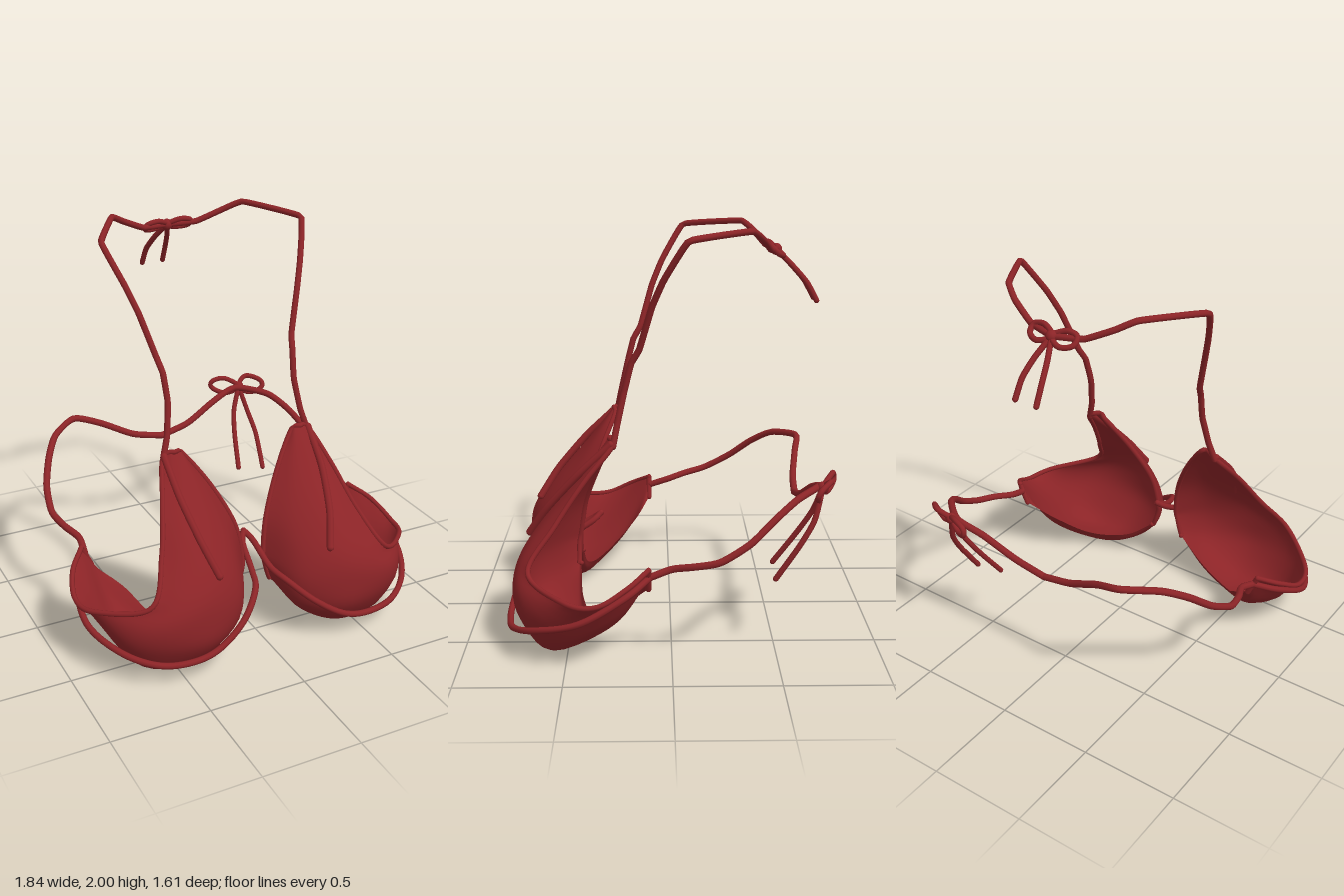
import * as THREE from 'three';

const red = new THREE.MeshStandardMaterial({ color: 0x8c2427, side: THREE.DoubleSide });
red.name = 'deep red fabric';

const vec = (p, s = 1) => new THREE.Vector3(p[0] * s, p[1], p[2]);
const spline = (pts, closed = false, tension = 0.5) => new THREE.CatmullRomCurve3(pts, closed, 'catmullrom', tension);

// Round cord along points, with rounded ends unless it is a closed loop
function cord(name, pts, { r = 0.016, closed = false, tension = 0.35, side = 1 } = {}) {
  const group = new THREE.Group();
  group.name = name;
  const path = pts.map(p => vec(p, side));
  const tube = new THREE.TubeGeometry(spline(path, closed, tension), pts.length * 6, r, 8, closed);
  const mesh = new THREE.Mesh(tube, red);
  mesh.name = name;
  group.add(mesh);
  if (!closed) for (const end of [path[0], path[path.length - 1]]) {
    const cap = new THREE.Mesh(new THREE.SphereGeometry(r, 8, 6), red);
    cap.name = name + 'End';
    cap.position.copy(end);
    group.add(cap);
  }
  return group;
}

// Cup cross-sections, each from the inner edge round the front to the outer edge, top to bottom
const cupRows = [
  [[.30, .965, .29], [.315, .985, .30], [.34, .988, .30], [.37, .985, .295], [.405, .96, .285]],
  [[.185, .80, .36], [.25, .80, .42], [.33, .80, .445], [.41, .80, .44], [.47, .80, .42]],
  [[.09, .60, .43], [.19, .60, .54], [.32, .60, .61], [.44, .60, .61], [.54, .60, .56]],
  [[.06, .42, .46], [.17, .43, .63], [.34, .43, .725], [.51, .43, .73], [.65, .41, .68]],
  [[.065, .36, .47], [.17, .30, .67], [.40, .29, .765], [.66, .31, .73], [.86, .345, .50]],
  [[.08, .30, .47], [.18, .18, .65], [.42, .15, .75], [.73, .18, .66], [.905, .34, .35]],
  [[.09, .27, .47], [.22, .10, .58], [.44, .01, .63], [.70, .05, .53], [.865, .41, .21]],
  [[.10, .25, .47], [.25, .10, .47], [.45, .02, .45], [.67, .16, .27], [.78, .47, .11]],
  [[.10, .26, .46], [.27, .13, .44], [.47, .11, .36], [.60, .25, .20], [.73, .36, .11]],
];

function cupShell(side) {
  const nu = 24, nv = 40, pos = [], index = [];
  const rows = cupRows.map(row => spline(row.map(p => vec(p, side))));
  for (let i = 0; i <= nu; i++) {
    const column = spline(rows.map(c => c.getPoint(i / nu)));
    for (let j = 0; j <= nv; j++) pos.push(...column.getPoint(j / nv).toArray());
  }
  for (let i = 0; i < nu; i++) for (let j = 0; j < nv; j++) {
    const a = i * (nv + 1) + j, b = a + nv + 1;
    if (side > 0) index.push(a, a + 1, b, b, a + 1, b + 1);
    else index.push(a, b, a + 1, b, b + 1, a + 1);
  }
  const geo = new THREE.BufferGeometry();
  geo.setAttribute('position', new THREE.Float32BufferAttribute(pos, 3));
  geo.setIndex(index);
  geo.computeVertexNormals();
  const mesh = new THREE.Mesh(geo, red);
  mesh.name = 'cupShell';
  return mesh;
}

// Bow: two closed loops, two hanging tails and a knot
function bow(name, center, loops, tails) {
  const group = new THREE.Group();
  group.name = name;
  for (const l of loops) group.add(cord('bowLoop', [center, ...l], { r: 0.014, closed: true, tension: 0.5 }));
  for (const t of tails) group.add(cord('bowTail', [center, ...t], { r: 0.014 }));
  const knot = new THREE.Mesh(new THREE.SphereGeometry(0.03, 10, 8), red);
  knot.name = 'bowKnot';
  knot.position.set(...center);
  group.add(knot);
  return group;
}

export function createModel() {
  const model = new THREE.Group();
  model.name = 'halterTop';

  for (const side of [1, -1]) {
    const half = new THREE.Group();
    half.name = side > 0 ? 'leftHalf' : 'rightHalf';
    half.add(cupShell(side));

    // Hem round the top, inner and outer edges of the cup
    const inner = cupRows.map(r => r[0]).reverse();
    const outer = cupRows.slice(0, 8).map(r => r[4]);
    half.add(cord('cupHem', [...inner, cupRows[0][2], ...outer], { r: 0.013, tension: 0.5, side }));
    half.add(cord('sideHem', [cupRows[7][4], cupRows[8][4]], { r: 0.014, side }));

    // Band under the cup, rising to the centre bridge
    half.add(cord('underband', [
      [0, .50, .36], [.03, .46, .41], [.05, .38, .55], [.09, .345, .66], [.20, .25, .75],
      [.35, .155, .785], [.50, .125, .785], [.66, .14, .75], [.80, .185, .63],
      [.885, .25, .43], [.85, .36, .22], [.76, .43, .10],
    ], { side, tension: 0.5 }));

    // Strap round the back
    half.add(cord('backStrap', [
      [.76, .43, .10], [.75, .465, 0], [.79, .49, -.10], [.815, .52, -.22], [.79, .60, -.36],
      [.73, .70, -.48], [.65, .77, -.59], [.50, .79, -.71], [.35, .74, -.69],
      [.17, .65, -.66], [0, .61, -.65],
    ], { side, r: 0.018 }));

    // Neck strap and its loose tail over the cup
    half.add(cord('neckStrap', [
      [.40, .96, .28], [.37, 1.06, .26], [.347, 1.22, .225], [.355, 1.36, .19], [.37, 1.43, .15],
      [.43, 1.64, .09], [.475, 1.77, .035], [.54, 1.955, -.08], [.365, 1.985, -.38],
      [.28, 1.94, -.44], [.15, 1.88, -.49], [0, 1.87, -.53],
    ], { side, tension: 0.12 }));
    half.add(cord('neckStrapTail', [
      [.40, .97, .29], [.392, .82, .45], [.355, .65, .60], [.305, .50, .70],
    ], { side, r: 0.019 }));
    model.add(half);
  }

  // Bow behind the neck
  model.add(bow('neckBow', [0, 1.87, -.53],
    [1, -1].map(s => [[s * .06, 1.90, -.50], [s * .12, 1.89, -.50], [s * .12, 1.855, -.535], [s * .06, 1.845, -.56]]),
    [1, -1].map(s => [[s * .035, 1.79, -.61], [s * .055, 1.71, -.68], [s * .06, 1.62, -.73]])));

  // Bow on the back strap
  model.add(bow('backBow', [.53, .79, -.72],
    [[[.59, .835, -.75], [.66, .815, -.70], [.66, .775, -.68], [.59, .75, -.70]],
     [[.46, .835, -.77], [.39, .82, -.79], [.39, .78, -.79], [.46, .75, -.75]]],
    [[[.57, .64, -.68], [.59, .52, -.61], [.58, .35, -.50]],
     [[.48, .66, -.68], [.45, .54, -.61], [.42, .38, -.50]]]));

  return model;
}
